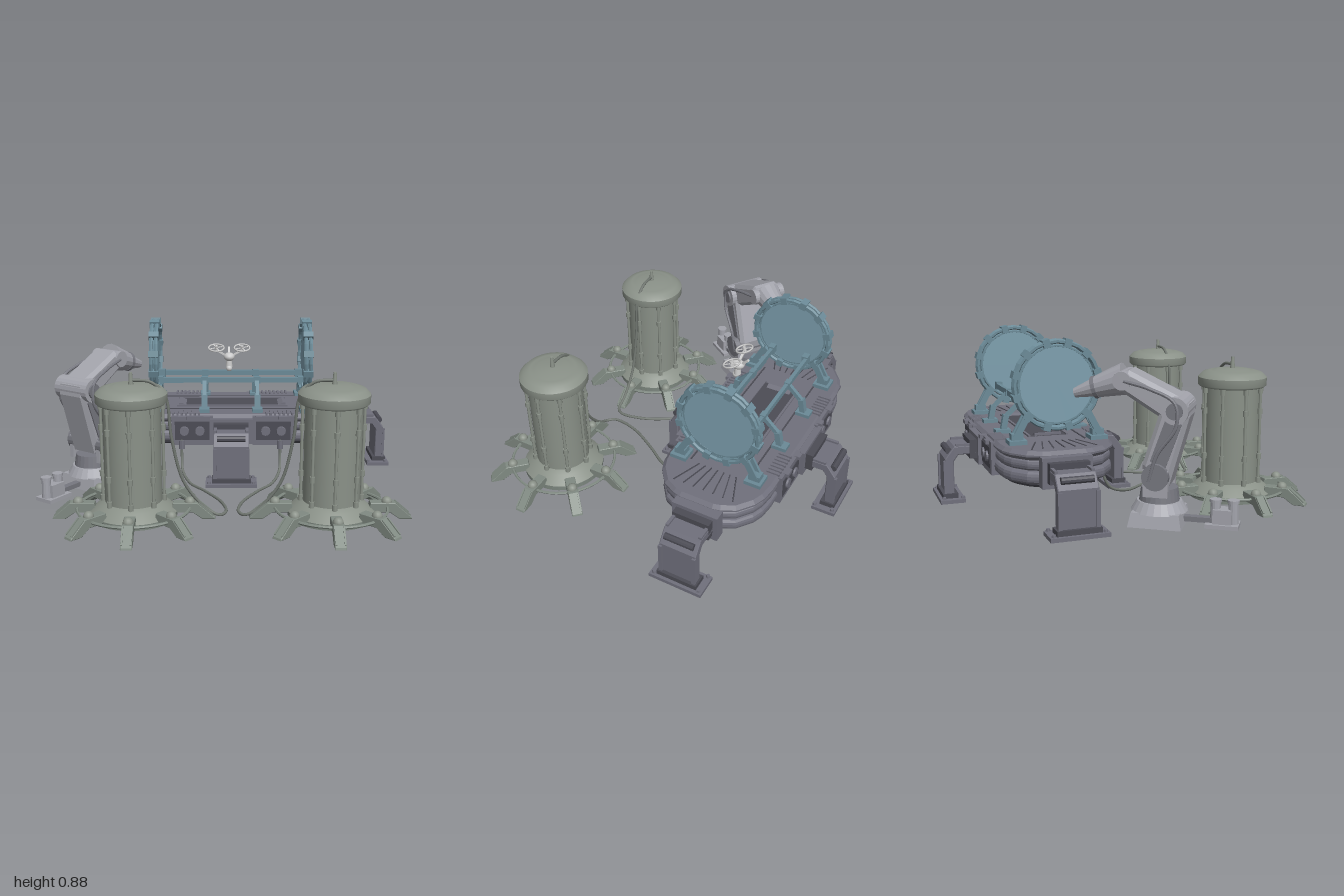
import * as THREE from 'three';

const mat = (color) => new THREE.MeshStandardMaterial({ color, side: THREE.DoubleSide });
const flat = (color) => Object.assign(mat(color), { flatShading: true });
const HULL = flat(0x70707c), DARK = flat(0x4c4c55), TEAL = flat(0x6b8a97), PANEL = flat(0x7d9fae);
const TANK = mat(0x8a9188), TANKFLAT = flat(0x808a82), ARM = flat(0xa2a3ab), ARMDARK = flat(0x777880);
const HOSE = mat(0x6f756f), WHITE = mat(0xcccccc);
const MID = 0.065; // mirror plane of the whole installation

function add(parent, name, geo, material, x = 0, y = 0, z = 0) {
  const m = new THREE.Mesh(geo, material);
  m.name = name;
  m.position.set(x, y, z);
  parent.add(m);
  return m;
}
function group(parent, name, x = 0, y = 0, z = 0, ry = 0) {
  const g = new THREE.Group();
  g.name = name;
  g.position.set(x, y, z);
  g.rotation.y = ry;
  parent.add(g);
  return g;
}
const box = (w, h, d) => new THREE.BoxGeometry(w, h, d);
const cyl = (r1, r2, h, n = 16) => new THREE.CylinderGeometry(r1, r2, h, n);
const vec = (p) => new THREE.Vector3(...p);
const shapeOf = (pts) => new THREE.Shape(pts.map(([x, y]) => new THREE.Vector2(x, y)));

// side profile (x, y) extruded to a width centred on z
function profile(pts, width, bevel = 0) {
  return new THREE.ExtrudeGeometry(shapeOf(pts), {
    depth: width - 2 * bevel, bevelEnabled: bevel > 0, bevelSize: bevel, bevelThickness: bevel, bevelOffset: -bevel, bevelSegments: 1,
  }).translate(0, 0, -width / 2 + bevel);
}
// beam between two points
function beam(parent, name, a, b, w, d, material) {
  const A = vec(a), B = vec(b), dir = B.clone().sub(A);
  const m = add(parent, name, box(w, dir.length(), d), material, ...A.clone().add(B).multiplyScalar(0.5).toArray());
  m.quaternion.setFromUnitVectors(new THREE.Vector3(0, 1, 0), dir.normalize());
  return m;
}
const tube = (pts, r, n = 60) => new THREE.TubeGeometry(new THREE.CatmullRomCurve3(pts.map(vec), false, 'centripetal'), n, r, 8);

// platform hull: stacked bevelled slabs with cut corners
function platform(root) {
  const g = group(root, 'platform', 0.075, 0, -0.425);
  const half = [[0.43, 0.295], [0.51, 0.285], [0.57, 0.262], [0.65, 0.2], [0.685, 0.13], [0.695, 0.09]];
  const right = [...half.map(([x, z]) => [x, -z]), ...half.slice().reverse()];
  const ring = [...right, ...right.map(([x, z]) => [-x, -z])];
  const slab = (name, y0, y1, inset, bevel, segs, m) => {
    const pts = ring.map(([x, z]) => [x * (1 - inset / 0.695), z * (1 - inset / 0.295)]);
    const geo = new THREE.ExtrudeGeometry(shapeOf(pts), {
      depth: y1 - y0 - 2 * bevel, bevelSize: bevel, bevelThickness: bevel, bevelOffset: -bevel, bevelSegments: segs,
    }).translate(0, 0, y0 + bevel).rotateX(-Math.PI / 2);
    add(g, name, geo, m);
  };
  slab('underside', 0.18, 0.23, 0.035, 0.015, 1, DARK);
  slab('lowerRim', 0.2, 0.265, 0.005, 0.025, 3, HULL);
  slab('hullCore', 0.23, 0.34, 0.035, 0.01, 1, DARK);
  slab('middleRim', 0.265, 0.325, 0.01, 0.025, 3, HULL);
  slab('deck', 0.32, 0.365, 0, 0.018, 1, HULL);

  // deck trough with sloped ends
  add(g, 'troughFloor', box(0.64, 0.006, 0.19), DARK, 0, 0.365);
  for (const s of [-1, 1]) {
    add(g, 'troughRim', box(0.66, 0.012, 0.012), HULL, 0, 0.368, s * 0.1);
    add(g, 'deckSeam', box(0.9, 0.005, 0.008), DARK, 0, 0.366, s * 0.16);
    const wedge = [[0, 0.365], [0.05, 0.365], [0.05, 0.38], [0.035, 0.38]].map(([x, y]) => [s * (0.27 + x), y]);
    add(g, 'troughEnd', profile(s > 0 ? wedge : wedge.reverse(), 0.14), HULL);
    for (let i = -3; i <= 3; i++)
      beam(g, 'deckRib', [s * 0.46, 0.366, i * 0.035], [s * 0.62, 0.366, i * 0.055], 0.005, 0.006, DARK);
    // side lockers with round ports, vents and clips
    for (const f of [-1, 1]) {
      const x = s * 0.235;
      add(g, 'sideLocker', box(0.24, 0.17, 0.04), HULL, x, 0.272, f * 0.287);
      add(g, 'lockerPanel', box(0.2, 0.11, 0.01), DARK, x, 0.272, f * 0.306);
      for (const px of [-0.045, 0.045]) {
        const port = add(g, 'port', cyl(0.026, 0.03, 0.018, 16), HULL, x + px, 0.272, f * 0.312);
        port.rotation.x = f * Math.PI / 2;
      }
      for (let i = 0; i < 7; i++)
        add(g, 'ventFin', box(0.012, 0.014, 0.07), HULL, s * (0.195 + i * 0.025), 0.367, f * 0.255);
      add(g, 'lockerClip', box(0.05, 0.02, 0.03), HULL, s * 0.29, 0.35, f * 0.31);
      add(g, 'lockerClip', box(0.035, 0.02, 0.03), HULL, s * 0.15, 0.35, f * 0.31);
    }
  }
}

// folding support leg, reaching outward along +x from the hull edge
function supportLeg(root, x, z, ry) {
  const g = group(root, 'supportLeg', x, 0, z, ry);
  add(g, 'legHub', box(0.06, 0.15, 0.25), HULL, 0, 0.27);
  add(g, 'legSocket', box(0.05, 0.1, 0.2), DARK, 0.045, 0.275);
  const arm = [[0, 0.25], [0.13, 0.25], [0.155, 0.215], [0.155, 0.02], [0.2, 0.02], [0.2, 0.23], [0.15, 0.295], [0, 0.295]];
  add(g, 'legArm', profile(arm, 0.2, 0.004), HULL);
  for (const s of [-1, 1]) {
    add(g, 'legEdge', box(0.014, 0.2, 0.02), HULL, 0.203, 0.12, s * 0.092);
    add(g, 'armRail', box(0.12, 0.014, 0.016), HULL, 0.08, 0.3, s * 0.09);
    for (const fx of [0.115, 0.215]) add(g, 'footBolt', cyl(0.01, 0.012, 0.014, 6), HULL, fx, 0.025, s * 0.125);
  }
  const hinge = add(g, 'legHinge', cyl(0.018, 0.018, 0.16, 10), DARK, 0.178, 0.27);
  hinge.rotation.x = Math.PI / 2;
  add(g, 'legFoot', box(0.13, 0.02, 0.29), HULL, 0.17, 0.01);
  add(g, 'footCollar', box(0.08, 0.03, 0.22), DARK, 0.178, 0.03);
}

// upright ring panel with clamps and a splayed stand
function dish(root, x, side) {
  const g = group(root, 'ringPanel', x, 0.65, -0.415);
  const face = add(g, 'panel', cyl(0.2, 0.2, 0.014, 24), PANEL);
  face.rotation.z = Math.PI / 2;
  for (const [r, t, dx] of [[0.218, 0.012, 0.014], [0.218, 0.012, -0.014], [0.195, 0.009, 0]])
    add(g, 'ring', new THREE.TorusGeometry(r, t, 6, 24).rotateY(Math.PI / 2), TEAL, dx);
  for (let i = 0; i < 12; i++) {
    const a = (i + 0.5) * Math.PI / 6;
    const c = add(g, 'ringClamp', box(0.058, 0.04, 0.036), TEAL, 0, Math.cos(a) * 0.215, Math.sin(a) * 0.215);
    c.rotation.x = a;
  }
  for (const s of [-1, 1]) {
    add(g, 'standFoot', box(0.09, 0.022, 0.09), TEAL, 0, -0.275, s * 0.21);
    add(g, 'standBlock', box(0.05, 0.035, 0.06), TEAL, 0, -0.25, s * 0.21);
    for (const dx of [-0.02, 0.02]) beam(g, 'standStrut', [dx, -0.25, s * 0.215], [dx, -0.14, s * 0.155], 0.014, 0.034, TEAL);
    add(g, 'railSocket', box(0.05, 0.045, 0.035), TEAL, -side * 0.025, -0.12, s * 0.103);
  }
}

// handrails between the two ring panels
function rails(root) {
  const g = group(root, 'rails', MID, 0, -0.42);
  for (const s of [-1, 1]) {
    add(g, 'rail', box(0.86, 0.03, 0.02), TEAL, 0, 0.53, s * 0.105);
    for (const x of [-0.155, 0.155]) {
      add(g, 'postFoot', box(0.06, 0.02, 0.08), TEAL, x, 0.375, s * 0.21);
      beam(g, 'post', [x, 0.38, s * 0.205], [x, 0.46, s * 0.19], 0.034, 0.03, TEAL);
      beam(g, 'postArm', [x, 0.45, s * 0.19], [x, 0.53, s * 0.105], 0.022, 0.022, TEAL);
      add(g, 'railClamp', box(0.04, 0.04, 0.03), TEAL, x, 0.53, s * 0.105);
    }
  }
}

// storage tank on eight claw feet
function tank(root, x) {
  const g = group(root, 'tank', x, 0, 0.535);
  const lathe = (pts) => new THREE.LatheGeometry(pts.map(([r, y]) => new THREE.Vector2(r, y)), 40);
  add(g, 'tankBody', cyl(0.145, 0.145, 0.54, 40), TANK, 0, 0.35);
  add(g, 'tankSkirt', lathe([[0.145, 0.08], [0.15, 0.02], [0.22, 0.015], [0.222, 0.045]]), TANKFLAT);
  add(g, 'skirtTop', lathe([[0.222, 0.045], [0.175, 0.085], [0.145, 0.1]]), TANK);
  add(g, 'capSide', lathe([[0.14, 0.6], [0.17, 0.605], [0.18, 0.615], [0.18, 0.655]]), TANK);
  add(g, 'capTop', lathe([[0.18, 0.655], [0.155, 0.68], [0.12, 0.69], [0.1, 0.687], [0.08, 0.697], [0, 0.7]]), TANK);
  add(g, 'valve', cyl(0.008, 0.014, 0.07, 10), TANK, 0, 0.725);
  add(g, 'baseHoop', new THREE.TorusGeometry(0.288, 0.008, 6, 40).rotateX(Math.PI / 2), TANKFLAT, 0, 0.06);
  const claw = [[0.19, 0.035], [0.3, 0.035], [0.35, 0], [0.415, 0], [0.412, 0.01], [0.325, 0.085], [0.2, 0.085]];
  for (let i = 0; i < 8; i++) {
    const s = group(g, 'tankFoot', 0, 0, 0, i * Math.PI / 4);
    add(s, 'claw', profile(claw, 0.056, 0.003), TANKFLAT);
    for (const w of [-1, 1]) beam(s, 'clawEdge', [0.33, 0.083, w * 0.022], [0.405, 0.019, w * 0.022], 0.008, 0.008, TANKFLAT);
    add(s, 'footKnob', new THREE.SphereGeometry(0.027, 14, 8), TANK, 0.285, 0.085);
    add(s, 'tankRod', cyl(0.008, 0.008, 0.52, 8), TANK, 0.155, 0.35);
    for (const y of [0.11, 0.24, 0.48, 0.59]) add(s, 'rodCollar', cyl(0.014, 0.014, 0.03, 8), TANK, 0.155, y);
  }
}

// hose from a tank's lid, down its side, along the ground and up to the platform
function hose(root, side) {
  const path = [[-0.44, 0.72, 0.535], [-0.34, 0.71, 0.535], [-0.27, 0.64, 0.535], [-0.24, 0.42, 0.535], [-0.18, 0.19, 0.535],
    [-0.07, 0.05, 0.535], [0, 0.012, 0.532], [0.032, 0.012, 0.49], [0.01, 0.012, 0.35], [-0.08, 0.012, 0.18],
    [-0.17, 0.012, 0.04], [-0.215, 0.05, -0.07], [-0.22, 0.12, -0.11], [-0.22, 0.22, -0.12]];
  const pts = path.map(([x, y, z]) => [MID + side * (MID - x), y, z]);
  add(root, 'hose', tube(pts, 0.008, 120), HOSE);
  add(root, 'hoseFitting', cyl(0.018, 0.018, 0.05, 10), HULL, pts[13][0], 0.19, -0.12);
}

// jointed robot arm; local +x is its reach
function robotArm(root) {
  const g = group(root, 'robotArm', -0.725, 0, 0, 0.963);
  add(g, 'armBase', cyl(0.165, 0.185, 0.07, 4).rotateY(Math.PI / 4), ARM, 0, 0.035);
  add(g, 'basePlinth', cyl(0.11, 0.14, 0.05, 24), ARM, 0, 0.09);
  add(g, 'turntable', cyl(0.09, 0.1, 0.07, 24), ARMDARK, 0, 0.145);
  const joint = (x, y, r, w, m = ARM) => { add(g, 'armJoint', cyl(r, r, w, 20), m, x, y).rotation.x = Math.PI / 2; };
  for (const s of [-1, 1]) add(g, 'shoulderBracket', box(0.12, 0.13, 0.025), ARM, 0, 0.215, s * 0.1);
  joint(0, 0.25, 0.065, 0.25, ARMDARK);
  const lower = [[-0.06, 0.2], [0.06, 0.21], [0.07, 0.3], [-0.02, 0.58], [-0.06, 0.64], [-0.15, 0.6], [-0.155, 0.54]];
  add(g, 'lowerArm', profile(lower, 0.19, 0.02), ARM);
  for (const s of [-1, 1]) beam(g, 'lowerArmPanel', [-0.01, 0.31, s * 0.096], [-0.085, 0.52, s * 0.096], 0.08, 0.014, ARMDARK);
  joint(-0.09, 0.57, 0.065, 0.23);
  joint(-0.09, 0.57, 0.04, 0.25, ARMDARK);
  const upper = [[-0.12, 0.53], [-0.03, 0.52], [0.2, 0.66], [0.21, 0.73], [0.14, 0.75], [-0.13, 0.62]];
  add(g, 'upperArm', profile(upper, 0.17, 0.02), ARM);
  joint(0.17, 0.7, 0.045, 0.19);
  // tapered forearm and nozzle
  const fore = group(g, 'forearm', 0.17, 0.7, 0);
  fore.rotation.z = -Math.PI / 2 - 0.3;
  add(fore, 'foreSleeve', cyl(0.052, 0.08, 0.16, 16), ARM, 0, 0.08);
  add(fore, 'foreRing', cyl(0.056, 0.056, 0.02, 16), ARMDARK, 0, 0.16);
  add(fore, 'nozzle', cyl(0.024, 0.045, 0.1, 12), ARM, 0, 0.22);
  for (const s of [-1, 1])
    add(g, 'armCable', tube([[0.03, 0.23, s * 0.12], [-0.01, 0.36, s * 0.125], [-0.1, 0.5, s * 0.125], [-0.09, 0.61, s * 0.12], [0.03, 0.67, s * 0.11], [0.16, 0.7, s * 0.09]], 0.009, 40), ARMDARK);
  // floor control unit
  add(g, 'controlPlate', box(0.16, 0.02, 0.11), ARM, -0.31, 0.01);
  add(g, 'controlBox', box(0.09, 0.07, 0.08), ARM, -0.31, 0.055);
  add(g, 'controlLink', box(0.14, 0.025, 0.04), ARMDARK, -0.19, 0.03);
  for (const dx of [-0.05, 0.035]) {
    add(g, 'controlPost', cyl(0.024, 0.026, 0.11, 14), ARM, -0.31 + dx, 0.07);
    add(g, 'postCap', cyl(0.029, 0.029, 0.014, 14), ARM, -0.31 + dx, 0.128);
  }
}

// small hovering drone with two ducted rotors
function drone(root) {
  const g = group(root, 'drone', 0.055, 0.66, -0.29);
  add(g, 'droneBody', new THREE.SphereGeometry(0.032, 16, 10).scale(1, 0.8, 1.2), WHITE, 0, 0.015);
  add(g, 'droneNeck', cyl(0.015, 0.02, 0.05, 12), WHITE, 0, -0.02);
  add(g, 'droneEye', new THREE.SphereGeometry(0.018, 12, 8), WHITE, 0, -0.052, 0.01);
  beam(g, 'droneTail', [0, 0.02, -0.02], [0, 0.06, -0.06], 0.012, 0.012, WHITE);
  for (const s of [-1, 1]) {
    beam(g, 'rotorArm', [s * 0.015, 0.02, 0], [s * 0.075, 0.055, 0], 0.01, 0.012, WHITE);
    const r = group(g, 'rotor', s * 0.075, 0.068, 0);
    r.rotation.x = 0.3;
    add(r, 'rotorDuct', new THREE.TorusGeometry(0.045, 0.005, 6, 24).rotateX(Math.PI / 2), WHITE);
    add(r, 'rotorHub', cyl(0.009, 0.009, 0.025, 10), WHITE);
    for (const a of [0.4, 1.97]) add(r, 'rotorBlade', box(0.085, 0.003, 0.008), WHITE).rotation.y = a;
  }
}

export function createModel() {
  const root = new THREE.Group();
  root.name = 'fieldStation';
  platform(root);
  supportLeg(root, 0.79, -0.445, 0);
  supportLeg(root, -0.63, -0.445, Math.PI);
  supportLeg(root, MID, -0.135, -Math.PI / 2);
  supportLeg(root, MID, -0.725, Math.PI / 2);
  for (const s of [-1, 1]) {
    dish(root, MID + s * 0.448, s);
    tank(root, MID + s * 0.502);
    hose(root, s);
  }
  rails(root);
  robotArm(root);
  drone(root);
  return root;
}
